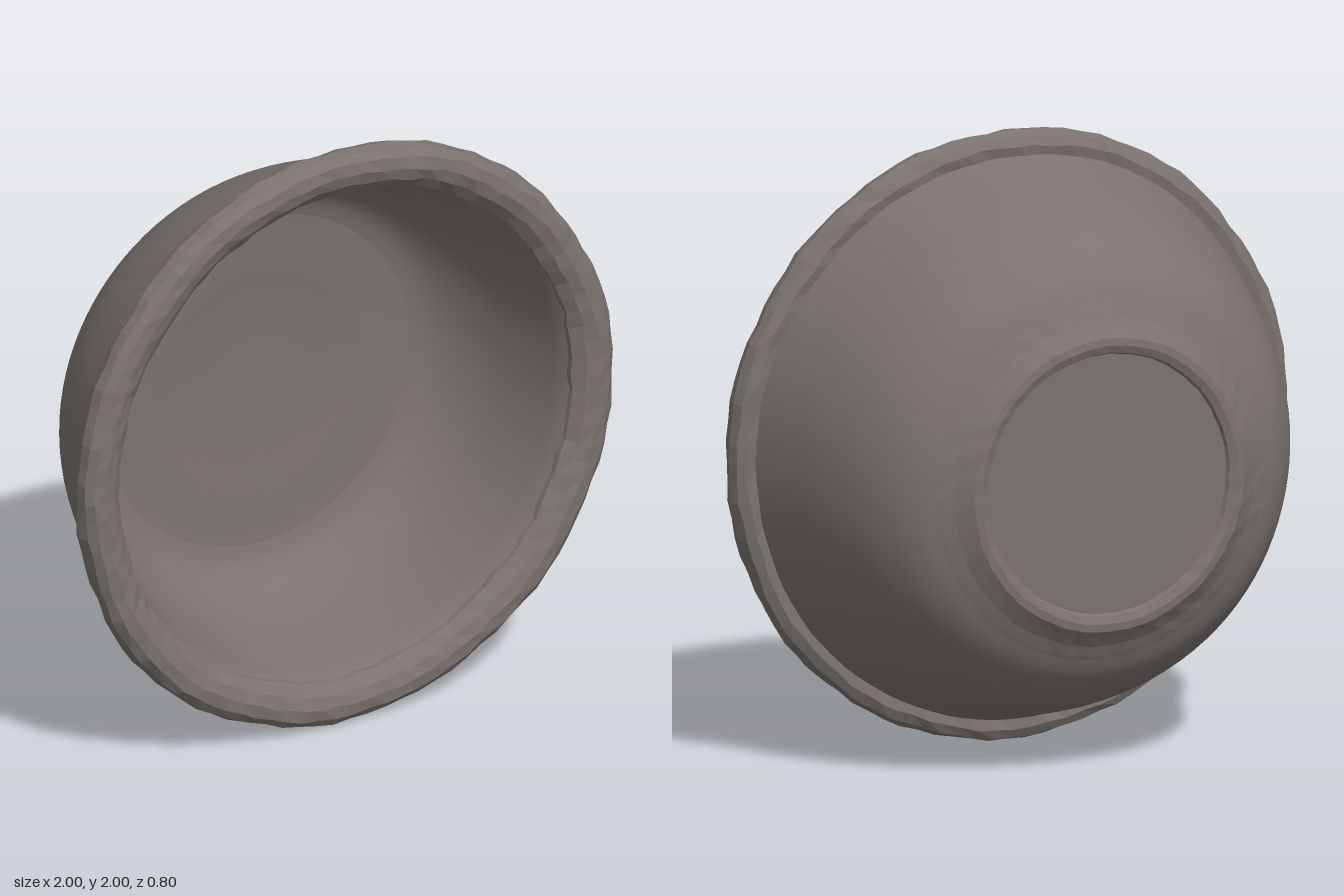
import * as THREE from 'three';
import { mergeVertices } from 'three/addons/utils/BufferGeometryUtils.js';

const SEGMENTS = 96;

// Hand-formed unevenness: slight tilt of the rim, off-centre foot, wobbly surface.
function warp(geometry, rough) {
  const p = geometry.attributes.position;
  for (let i = 0; i < p.count; i++) {
    const x = p.getX(i), y = p.getY(i), z = p.getZ(i);
    const r = Math.hypot(x, y), a = Math.atan2(y, x);
    const up = THREE.MathUtils.clamp((z + 0.4) / 0.75, 0, 1);
    const wave = 0.003 * Math.sin(3 * a + 1) + 0.002 * Math.sin(7 * a);
    const chip = rough * (Math.sin(13 * a + 31 * z) + Math.sin(37 * a + 57 * r));
    const s = r > 0.01 ? 1 + (wave * up + chip) / r : 1;
    const sink = 0.035 * (1 - up);
    p.setXYZ(
      i,
      x * s - 0.012 * (1 - up),
      1 - 0.004 * up + y * s - sink,
      z - 0.012 * up * (x + y) + rough * Math.sin(29 * a + 43 * r) * 0.8
    );
  }
}

// Revolve [radius, z] points about the z axis.
function revolve(name, points, material, { rough = 0, curve = false, faceted = false } = {}) {
  let profile = points.map(([r, z]) => new THREE.Vector2(r, z));
  if (curve) profile = new THREE.SplineCurve(profile).getPoints(points.length * 3);
  let geometry = new THREE.LatheGeometry(profile, SEGMENTS);
  geometry.rotateX(Math.PI / 2);
  warp(geometry, rough);
  geometry.deleteAttribute('uv');
  geometry.deleteAttribute('normal');
  geometry = faceted ? geometry.toNonIndexed() : mergeVertices(geometry, 1e-4);
  geometry.computeVertexNormals();
  const mesh = new THREE.Mesh(geometry, material);
  mesh.name = name;
  return mesh;
}

export function createModel() {
  const bowl = new THREE.Group();
  bowl.name = 'bowl';
  const clay = new THREE.MeshStandardMaterial({ color: 0x7a736f });
  clay.name = 'greyClay';

  // Slightly recessed underside and raised foot ring
  bowl.add(revolve('underside', [[0, -0.378], [0.435, -0.378]], clay));
  bowl.add(revolve('footRing', [
    [0.42, -0.37], [0.43, -0.39], [0.455, -0.4], [0.48, -0.397],
    [0.505, -0.378], [0.535, -0.357], [0.57, -0.34], [0.61, -0.318]
  ], clay, { rough: 0.001, faceted: true }));

  // Rounded outer wall
  bowl.add(revolve('outerWall', [
    [0.585, -0.334], [0.635, -0.308], [0.69, -0.262], [0.742, -0.195], [0.782, -0.125],
    [0.815, -0.05], [0.845, 0.03], [0.883, 0.15], [0.925, 0.28]
  ], clay, { curve: true }));

  // Rough rolled lip, its inner end tucked behind the inner wall
  bowl.add(revolve('rim', [
    [0.91, 0.275], [0.955, 0.268], [0.985, 0.285], [0.998, 0.32], [0.99, 0.355],
    [0.965, 0.377], [0.925, 0.382], [0.885, 0.368], [0.85, 0.335], [0.845, 0.26]
  ], clay, { rough: 0.003, faceted: true }));

  // Inner wall curving down to the floor
  bowl.add(revolve('innerWall', [
    [0.87, 0.35], [0.836, 0.29], [0.815, 0.21], [0.785, 0.10], [0.752, 0.0],
    [0.712, -0.08], [0.665, -0.142], [0.62, -0.177], [0.57, -0.195]
  ], clay, { curve: true }));

  // Floor with a shallow round dip
  bowl.add(revolve('floor', [
    [0.57, -0.195], [0.52, -0.199], [0.42, -0.201], [0.35, -0.203],
    [0.32, -0.211], [0.15, -0.213], [0, -0.213]
  ], clay));

  return bowl;
}
